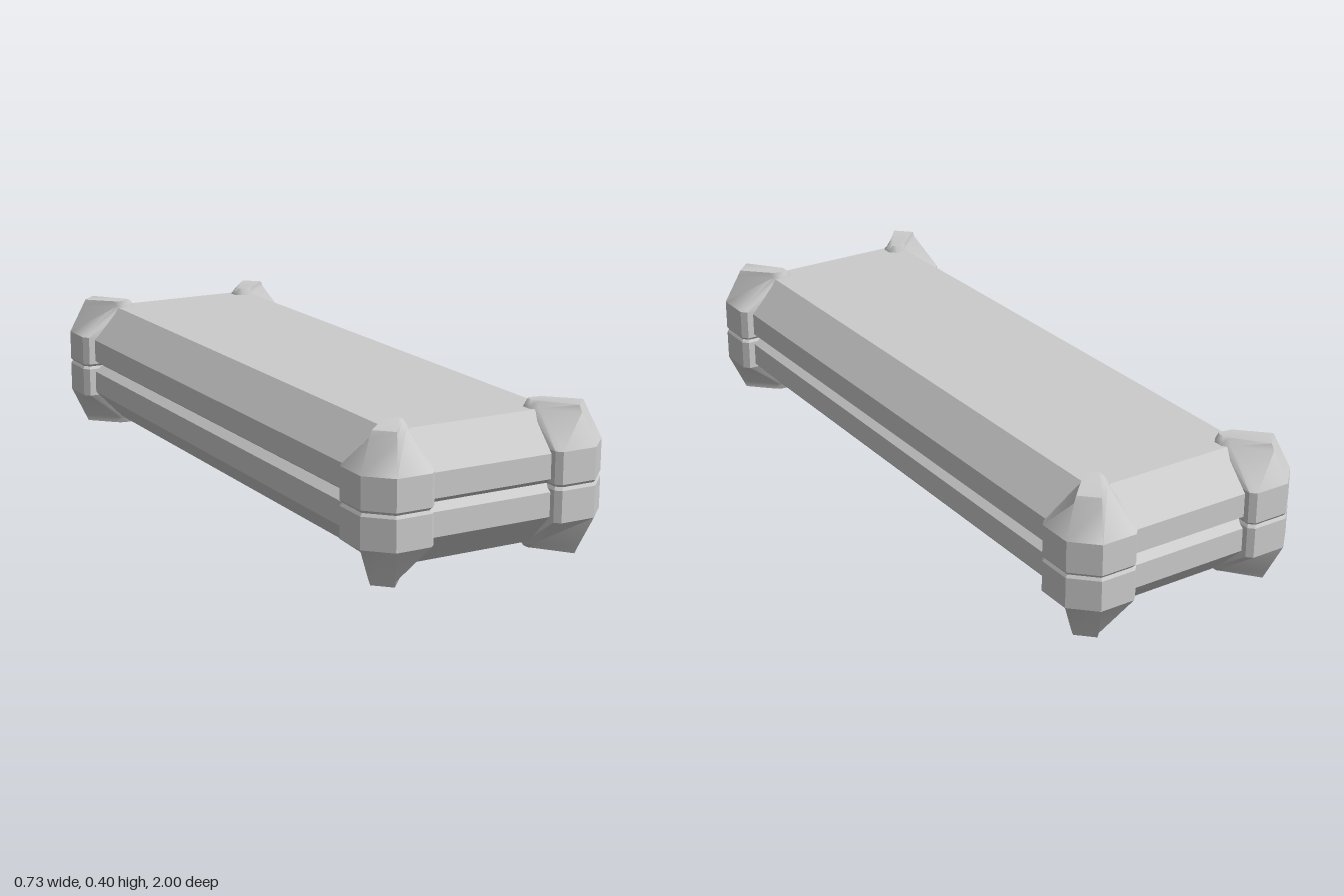
import * as THREE from 'three';
import { toCreasedNormals } from 'three/addons/utils/BufferGeometryUtils.js';

const material = new THREE.MeshStandardMaterial({ color: 0xcccccc });
const MID = 0.2015; // height of the seam between lid and base

// Closed solid through rings stacked upwards, each counter-clockwise from above
function loft(name, rings, crease) {
  const pos = [];
  const tri = (a, b, c) => pos.push(...a, ...b, ...c);
  const n = rings[0].length;
  for (let i = 0; i < rings.length - 1; i++) {
    for (let j = 0; j < n; j++) {
      const k = (j + 1) % n;
      const [a, b, c, d] = [rings[i][j], rings[i][k], rings[i + 1][k], rings[i + 1][j]];
      tri(a, b, c);
      tri(a, c, d);
    }
  }
  const bottom = rings[0], top = rings[rings.length - 1];
  for (let j = 1; j < n - 1; j++) {
    tri(bottom[0], bottom[j + 1], bottom[j]);
    tri(top[0], top[j], top[j + 1]);
  }
  let geometry = new THREE.BufferGeometry();
  geometry.setAttribute('position', new THREE.Float32BufferAttribute(pos, 3));
  geometry = toCreasedNormals(geometry, crease);
  const mesh = new THREE.Mesh(geometry, material);
  mesh.name = name;
  return mesh;
}

// Rectangle with cut corners, centred on the y axis
function bodyRing(y, hx, hz, cut) {
  return [
    [hx - cut, hz], [hx, hz - cut], [hx, cut - hz], [hx - cut, -hz],
    [cut - hx, -hz], [-hx, cut - hz], [-hx, hz - cut], [cut - hx, hz],
  ].map(([x, z]) => [x, y, z]);
}

// Corner guard outlines: vertical band, shoulder of the dome, tip of the dome
const BAND = [[0.182, 0.985], [0.197, 1], [0.3, 1], [0.365, 0.935],
  [0.365, 0.832], [0.35, 0.815], [0.2, 0.815], [0.182, 0.835]];
const SHOULDER = [[0.183, 0.86], [0.2, 0.88], [0.278, 0.963], [0.328, 0.913],
  [0.245, 0.835], [0.23, 0.82], [0.2, 0.818], [0.183, 0.835]];
const TIP = [[0.196, 0.855], [0.207, 0.868], [0.275, 0.955], [0.32, 0.91],
  [0.25, 0.84], [0.24, 0.832], [0.205, 0.826], [0.196, 0.835]];
const SEAM = BAND.map(([x, z]) => [0.275 + (x - 0.275) * 0.94, 0.908 + (z - 0.908) * 0.94]);

function cornerGuard(sx, sz) {
  const group = new THREE.Group();
  group.name = 'cornerGuard';
  // Mirror the outline into its corner, keeping it counter-clockwise
  const ring = (outline, y) => {
    const r = outline.map(([x, z]) => [x * sx, y, z * sz]);
    return sx * sz < 0 ? r.reverse() : r;
  };
  group.add(
    loft('guardBand', [
      ring(BAND, 0.107), ring(BAND, 0.194), ring(SEAM, MID + 0.001),
      ring(BAND, 0.21), ring(BAND, 0.298),
    ], 0.2),
    loft('guardUpperDome', [ring(BAND, 0.298), ring(SHOULDER, 0.385), ring(TIP, 0.403)], 1.0),
    loft('guardLowerDome', [ring(TIP, 0), ring(SHOULDER, 0.018), ring(BAND, 0.107)], 1.0),
  );
  return group;
}

export function createModel() {
  const model = new THREE.Group();
  model.name = 'crate';

  // Bevelled body with a V groove around the seam
  model.add(loft('body', [
    bodyRing(0.025, 0.24, 0.875, 0.05),
    bodyRing(0.118, 0.33, 0.968, 0.08),
    bodyRing(0.185, 0.33, 0.968, 0.08),
    bodyRing(0.203, 0.305, 0.943, 0.08),
    bodyRing(0.22, 0.33, 0.968, 0.08),
    bodyRing(0.288, 0.33, 0.968, 0.08),
    bodyRing(0.383, 0.24, 0.875, 0.05),
  ], 0.2));

  // Four corner guards
  for (const sx of [-1, 1]) {
    for (const sz of [-1, 1]) model.add(cornerGuard(sx, sz));
  }
  return model;
}
